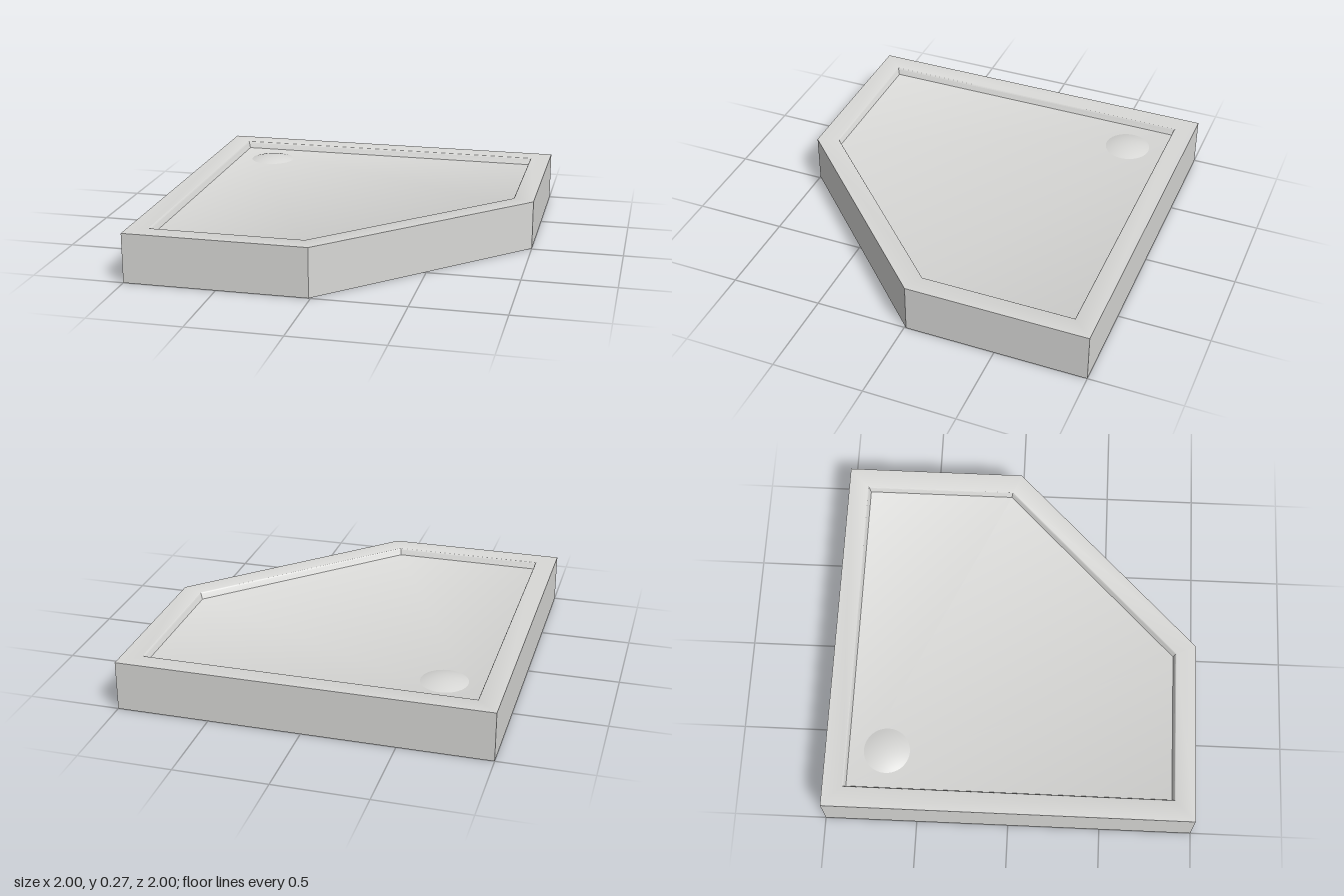
import * as THREE from 'three';
import { toCreasedNormals } from 'three/addons/utils/BufferGeometryUtils.js';

const mat = (name, color) => Object.assign(new THREE.MeshStandardMaterial({ color }), { name });

// Pentagon outline of the tray, inset by d
function outline(d) {
  const a = 1 - d, b = 0.99 - Math.SQRT2 * d - a;
  return [[-a, -a], [-a, a], [b, a], [a, b], [a, -a]];
}

// Surface through inset outlines [inset, height], with optional end caps
function loft(profile, capStart, capEnd) {
  const rings = profile.map(([d, y]) => outline(d).map(([x, z]) => [x, y, z]));
  const pos = [];
  const tri = (...pts) => pts.forEach((p) => pos.push(...p));
  for (let r = 0; r < rings.length - 1; r++) {
    const A = rings[r], B = rings[r + 1];
    for (let i = 0; i < 5; i++) {
      const j = (i + 1) % 5;
      tri(A[i], A[j], B[j]);
      tri(A[i], B[j], B[i]);
    }
  }
  const first = rings[0], last = rings[rings.length - 1];
  for (let i = 1; i < 4; i++) {
    if (capStart) tri(first[0], first[i + 1], first[i]);
    if (capEnd) tri(last[0], last[i], last[i + 1]);
  }
  const g = new THREE.BufferGeometry();
  g.setAttribute('position', new THREE.Float32BufferAttribute(pos, 3));
  return toCreasedNormals(g, 0.6);
}

export function createModel() {
  const group = new THREE.Group();
  const acrylic = mat('light grey acrylic', 0xd8d8d6);
  const board = mat('grey base board', 0xd8d8d8);
  const resin = mat('cream resin', 0xd8d2ba);
  const black = mat('black', 0x151515);

  const add = (name, geometry, material) => {
    const m = new THREE.Mesh(geometry, material);
    m.name = name;
    group.add(m);
    return m;
  };

  const drain = -0.67, ceiling = 0.13, floor = 0.23;

  // Outer wall, rim, rounded step and sunken floor
  add('trayShell', loft([
    [0.03, 0], [0, 0], [0, 0.27], [0.108, 0.27], [0.112, 0.268], [0.115, 0.263],
    [0.121, 0.237], [0.124, 0.232], [0.129, floor],
  ], false, true), acrylic);

  // Inner walls and underside
  add('undersideLining', loft([[0.03, ceiling], [0.03, 0]], true, false), resin);

  // Base board with a round bite around the drain
  const edge = 0.88, bite = 0.336;
  const side = edge + drain;
  const reach = Math.sqrt(bite * bite - side * side);
  const [, p1, p2, p3, p4] = outline(1 - edge);
  const shape = new THREE.Shape();
  shape.moveTo(-edge, drain + reach);
  [p1, p2, p3, p4, [drain + reach, -edge]].forEach(([x, z]) => shape.lineTo(x, z));
  shape.absarc(drain, drain, bite, Math.atan2(-side, reach), Math.atan2(reach, -side), false);
  const boardGeo = new THREE.ExtrudeGeometry(shape, { depth: ceiling, bevelEnabled: false, curveSegments: 40 });
  boardGeo.rotateX(Math.PI / 2).translate(0, ceiling, 0);
  add('baseBoard', toCreasedNormals(boardGeo, 0.6), board);

  // Shallow domed drain cover
  const dome = [];
  for (let i = 0; i <= 8; i++) {
    const r = 0.125 * (1 - i / 8);
    dome.push(new THREE.Vector2(r, 0.02 * (1 - (r / 0.125) ** 2)));
  }
  add('drainCover', new THREE.LatheGeometry(dome, 48), acrylic).position.set(drain, floor + 0.001, drain);

  // Drain outlet underneath
  add('drainOutlet', new THREE.CylinderGeometry(0.085, 0.085, 0.008, 32), black)
    .position.set(drain, ceiling, drain);

  return group;
}
